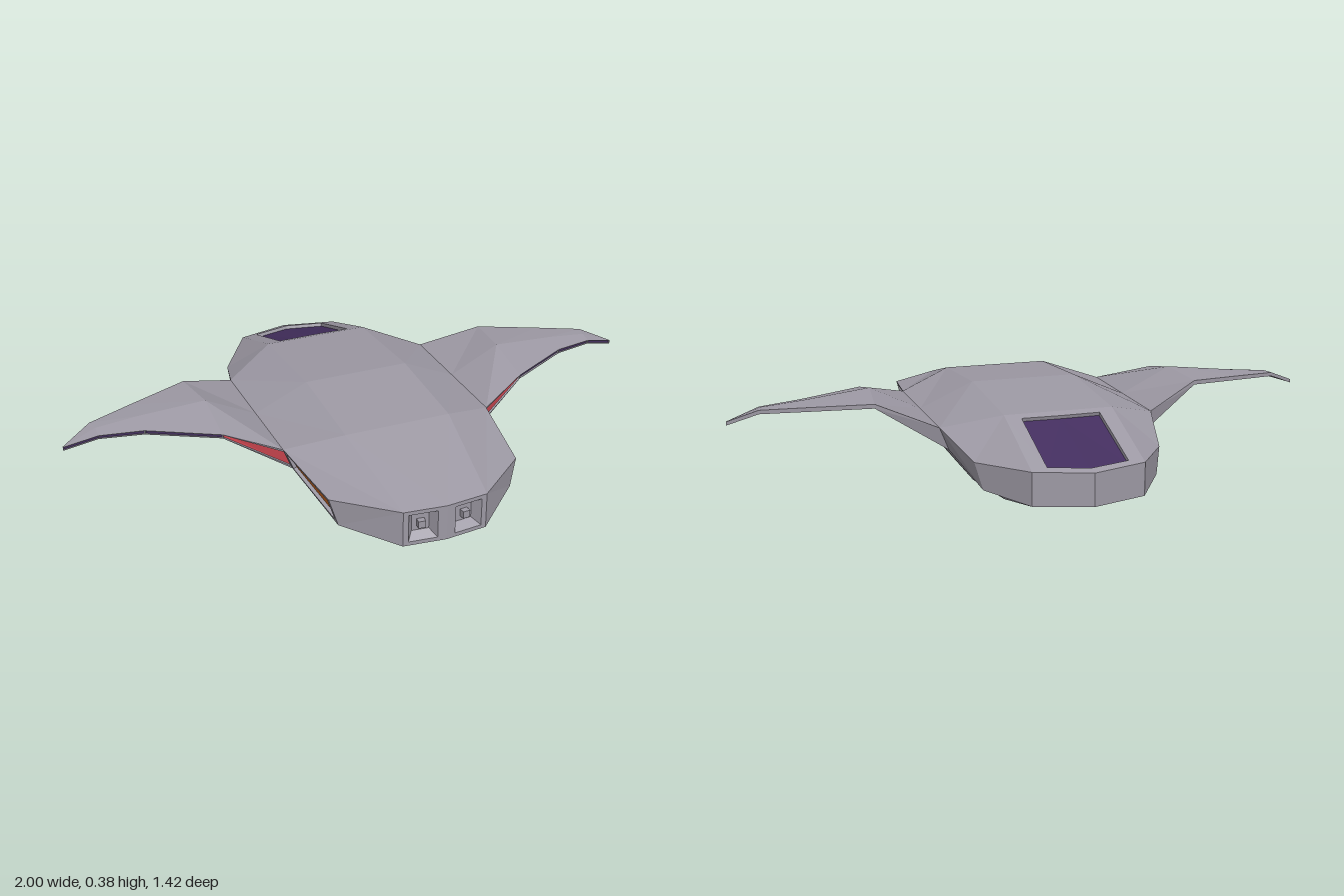
import * as THREE from 'three';

const paint = (color) => new THREE.MeshStandardMaterial({ color, flatShading: true });
const hullGrey = paint(0x9d99a4);
const orange = paint(0xd06a22);
const red = paint(0xd84a55);
const purple = paint(0x432e5e);

const V = (p) => new THREE.Vector3(...p);

// Mesh of quads (corners counter-clockwise from outside), mirrored across x = 0
function mirroredMesh(name, quads, material) {
  const pos = [];
  for (const [a, b, c, d] of quads) {
    for (const p of [a, b, c, a, c, d]) pos.push(p.x, p.y, p.z);
    for (const p of [a, c, b, a, d, c]) pos.push(-p.x, p.y, p.z);
  }
  const g = new THREE.BufferGeometry();
  g.setAttribute('position', new THREE.Float32BufferAttribute(pos, 3));
  g.computeVertexNormals();
  const mesh = new THREE.Mesh(g, material);
  mesh.name = name;
  return mesh;
}

// Recessed panel: the frame and walls go to `frame`, the sunken plate is returned
function insetPanel([a, b, c, d], [u0, u1, v0, v1], depth, frame) {
  const at = (u, v) => a.clone().lerp(b, u).lerp(d.clone().lerp(c, u), v);
  const normal = c.clone().sub(a).cross(d.clone().sub(b)).normalize();
  const outer = [a, b, c, d];
  const rim = [at(u0, v0), at(u1, v0), at(u1, v1), at(u0, v1)];
  const plate = rim.map((p) => p.clone().addScaledVector(normal, -depth));
  for (let i = 0; i < 4; i++) {
    if (i === 3 && u0 === 0) continue; // panel runs on across the centre line
    const j = (i + 1) % 4;
    frame.push([outer[i], outer[j], rim[j], rim[i]], [rim[i], rim[j], plate[j], plate[i]]);
  }
  return plate;
}

// Hull stations, front to rear: top centre, shoulder, upper edge, lower edge, chine, keel
const HULL = [
  [[0, 0.265, 0.71], [0.14, 0.265, 0.695], [0.32, 0.268, 0.545], [0.295, 0.18, 0.56], [0.14, 0.145, 0.695], [0, 0.145, 0.71]],
  [[0, 0.355, 0.34], [0.18, 0.355, 0.34], [0.36, 0.3, 0.26], [0.33, 0.225, 0.26], [0.18, 0.06, 0.34], [0, 0.035, 0.34]],
  [[0, 0.38, 0], [0.18, 0.38, 0], [0.36, 0.3, 0], [0.33, 0.225, 0], [0.18, 0.035, 0], [0, 0.004, 0]],
  [[0, 0.355, -0.37], [0.18, 0.355, -0.37], [0.36, 0.3, -0.26], [0.33, 0.225, -0.26], [0.18, 0.08, -0.37], [0, 0.055, -0.37]],
  [[0, 0.248, -0.71], [0.18, 0.252, -0.66], [0.305, 0.24, -0.47], [0.285, 0.158, -0.5], [0.18, 0.145, -0.66], [0, 0.142, -0.71]],
].map((row) => row.map(V));

// Wing sections, root to tip: front top, crest, rear top, rear bottom, front bottom
const WING = [
  [[0.36, 0.3, 0.26], [0.36, 0.3, 0], [0.36, 0.3, -0.26], [0.33, 0.225, -0.26], [0.33, 0.225, 0.26]],
  [[0.53, 0.347, 0.175], [0.53, 0.384, 0], [0.55, 0.372, -0.18], [0.55, 0.358, -0.18], [0.53, 0.334, 0.175]],
  [[0.75, 0.348, 0.055], [0.75, 0.363, -0.02], [0.75, 0.36, -0.112], [0.75, 0.346, -0.112], [0.75, 0.334, 0.055]],
  [[0.89, 0.342, 0.02], [0.89, 0.35, -0.02], [0.9, 0.35, -0.06], [0.9, 0.337, -0.06], [0.89, 0.33, 0.02]],
  [[1, 0.308, -0.01], [1, 0.308, -0.012], [1, 0.308, -0.014], [1, 0.296, -0.014], [1, 0.296, -0.01]],
].map((row) => row.map(V));

function hull(group) {
  const skin = [], sidePanels = [], windows = [];
  for (let i = 0; i < 4; i++) {
    for (let j = 0; j < 5; j++) {
      const q = [HULL[i][j], HULL[i][j + 1], HULL[i + 1][j + 1], HULL[i + 1][j]];
      if (i === 0 && j === 2) sidePanels.push(insetPanel(q, [0.12, 0.88, 0.05, 0.95], 0.012, skin));
      else if (i === 3 && j === 0) windows.push(insetPanel(q, [0, 0.72, 0.08, 0.92], 0.012, skin));
      else if (j === 2 && (i === 1 || i === 2)) continue; // wing root
      else skin.push(q);
    }
  }
  // Nose cheeks and rear faces
  const n = HULL[0], r = HULL[4];
  skin.push([n[1], n[4], n[3], n[2]], [r[0], r[1], r[4], r[5]], [r[1], r[2], r[3], r[4]]);
  group.add(
    mirroredMesh('hull', skin, hullGrey),
    mirroredMesh('sidePanels', sidePanels, orange),
    mirroredMesh('rearWindow', windows, purple),
  );
}

function wings(group) {
  const skin = [], inner = [], outer = [];
  for (let k = 0; k < 4; k++) {
    for (let j = 0; j < 5; j++) {
      const m = (j + 1) % 5;
      const q = [WING[k][j], WING[k + 1][j], WING[k + 1][m], WING[k][m]];
      if (j < 4) skin.push(q);
      else (k ? outer : inner).push(insetPanel(q, [0.01, 0.99, 0.12, 0.88], 0.006, skin));
    }
  }
  group.add(
    mirroredMesh('wings', skin, hullGrey),
    mirroredMesh('innerLeadingEdges', inner, red),
    mirroredMesh('outerLeadingEdges', outer, purple),
  );
}

// Half of the nose face with a square tapered recess and a small boss
function noseFace(side) {
  const g = new THREE.Group();
  g.name = side > 0 ? 'leftNoseFace' : 'rightNoseFace';
  const w = Math.hypot(0.14, 0.015) / 2, h = 0.06, s = 0.047, t = 0.028, depth = 0.03;
  const square = (path, x, hw, hh) =>
    path.moveTo(x - hw, -hh).lineTo(x + hw, -hh).lineTo(x + hw, hh).lineTo(x - hw, hh).closePath();
  const cx = side * 0.006;
  const shape = new THREE.Shape();
  square(shape, 0, w, h);
  const hole = new THREE.Path();
  square(hole, cx, s, s);
  shape.holes.push(hole);
  const add = (name, geometry, material, x, z) => {
    const m = new THREE.Mesh(geometry, material);
    m.name = name;
    m.position.set(x, 0, z);
    g.add(m);
  };
  add('noseFrame', new THREE.ShapeGeometry(shape), hullGrey, 0, 0);
  const wallMat = hullGrey.clone();
  wallMat.side = THREE.DoubleSide;
  const walls = new THREE.CylinderGeometry(s * Math.SQRT2, t * Math.SQRT2, depth, 4, 1, true);
  walls.rotateY(Math.PI / 4).rotateX(Math.PI / 2);
  add('recessWalls', walls, wallMat, cx, -depth / 2);
  add('recessBack', new THREE.PlaneGeometry(2 * t, 2 * t), hullGrey, cx, -depth);
  add('recessBoss', new THREE.BoxGeometry(0.024, 0.024, 0.02), hullGrey, cx, -depth + 0.01);
  g.position.set(side * 0.07, 0.205, 0.7025);
  g.rotation.y = side * Math.atan2(0.015, 0.14);
  return g;
}

export function createModel() {
  const model = new THREE.Group();
  model.name = 'wingedCraft';
  hull(model);
  wings(model);
  for (const side of [1, -1]) model.add(noseFace(side));
  return model;
}
